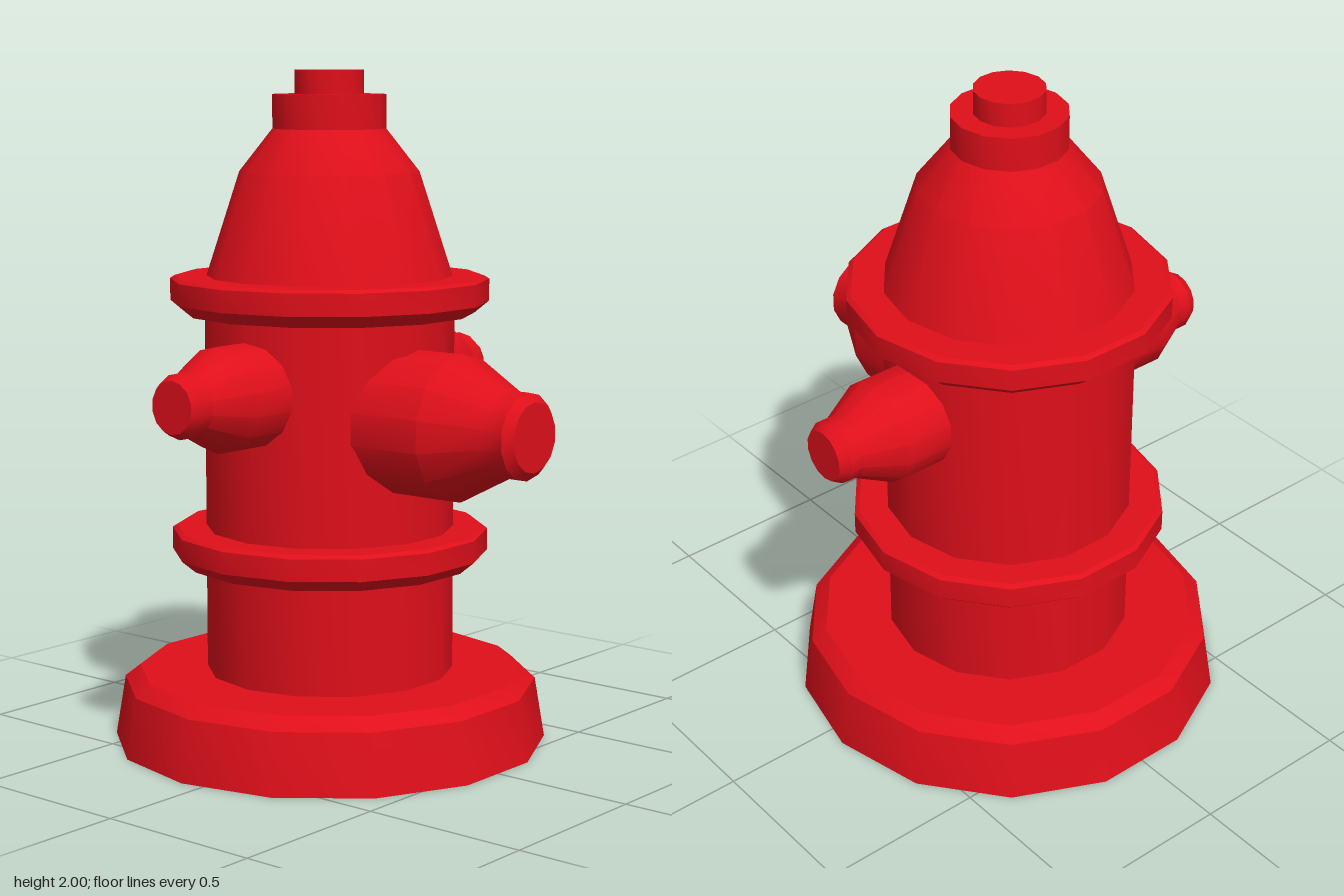
import * as THREE from 'three';
import { toCreasedNormals } from 'three/addons/utils/BufferGeometryUtils.js';

const SIDES = 14;
const red = new THREE.MeshStandardMaterial({ color: 0xdf0f1a });

// Turned part: profile of [radius, height], closed onto the axis at both ends
function turned(name, profile, phiStart = 0) {
  const points = [[0, profile[0][1]], ...profile, [0, profile[profile.length - 1][1]]]
    .map(([r, h]) => new THREE.Vector2(r, h));
  const geometry = new THREE.LatheGeometry(points, SIDES, phiStart);
  const mesh = new THREE.Mesh(toCreasedNormals(geometry, THREE.MathUtils.degToRad(30)), red);
  mesh.name = name;
  return mesh;
}

export function createModel() {
  const hydrant = new THREE.Group();
  hydrant.name = 'hydrant';

  // Everything turned about the upright axis
  const column = new THREE.Group();
  column.name = 'column';
  column.position.x = -0.07;
  hydrant.add(column);

  column.add(turned('base', [[0.65, 0], [0.62, 0.18], [0.575, 0.215]]));
  column.add(turned('barrel', [[0.37, 0.2], [0.37, 1.36]]));

  // Flanges, chamfered underneath
  for (const [name, y] of [['lowerFlange', 0.54], ['upperFlange', 1.29]]) {
    const flange = turned(name, [[0.43, 0], [0.472, 0.035], [0.472, 0.1], [0.458, 0.109]]);
    flange.position.y = y;
    column.add(flange);
  }

  column.add(turned('bonnet', [[0.37, 1.38], [0.365, 1.395], [0.265, 1.705], [0.167, 1.83]]));
  column.add(turned('bonnetCollar', [[0.167, 1.81], [0.167, 1.93]]));
  column.add(turned('operatingNut', [[0.102, 1.92], [0.102, 2]]));

  // Large outlet on the left side
  const mainOutlet = turned('mainOutlet',
    [[0.213, 0.1], [0.213, 0.445], [0.125, 0.615], [0.125, 0.675], [0.1, 0.7]], Math.PI / 2);
  mainOutlet.rotation.z = -Math.PI / 2;
  mainOutlet.position.set(0, 0.995, 0.03);
  hydrant.add(mainOutlet);

  // Small outlets at front and back
  for (const [name, dir] of [['frontOutlet', 1], ['backOutlet', -1]]) {
    const outlet = turned(name,
      [[0.153, 0.2], [0.153, 0.485], [0.094, 0.6], [0.094, 0.64], [0.076, 0.67]]);
    outlet.rotation.x = dir * Math.PI / 2;
    outlet.position.set(-0.073, 1.078, 0);
    hydrant.add(outlet);
  }

  return hydrant;
}
